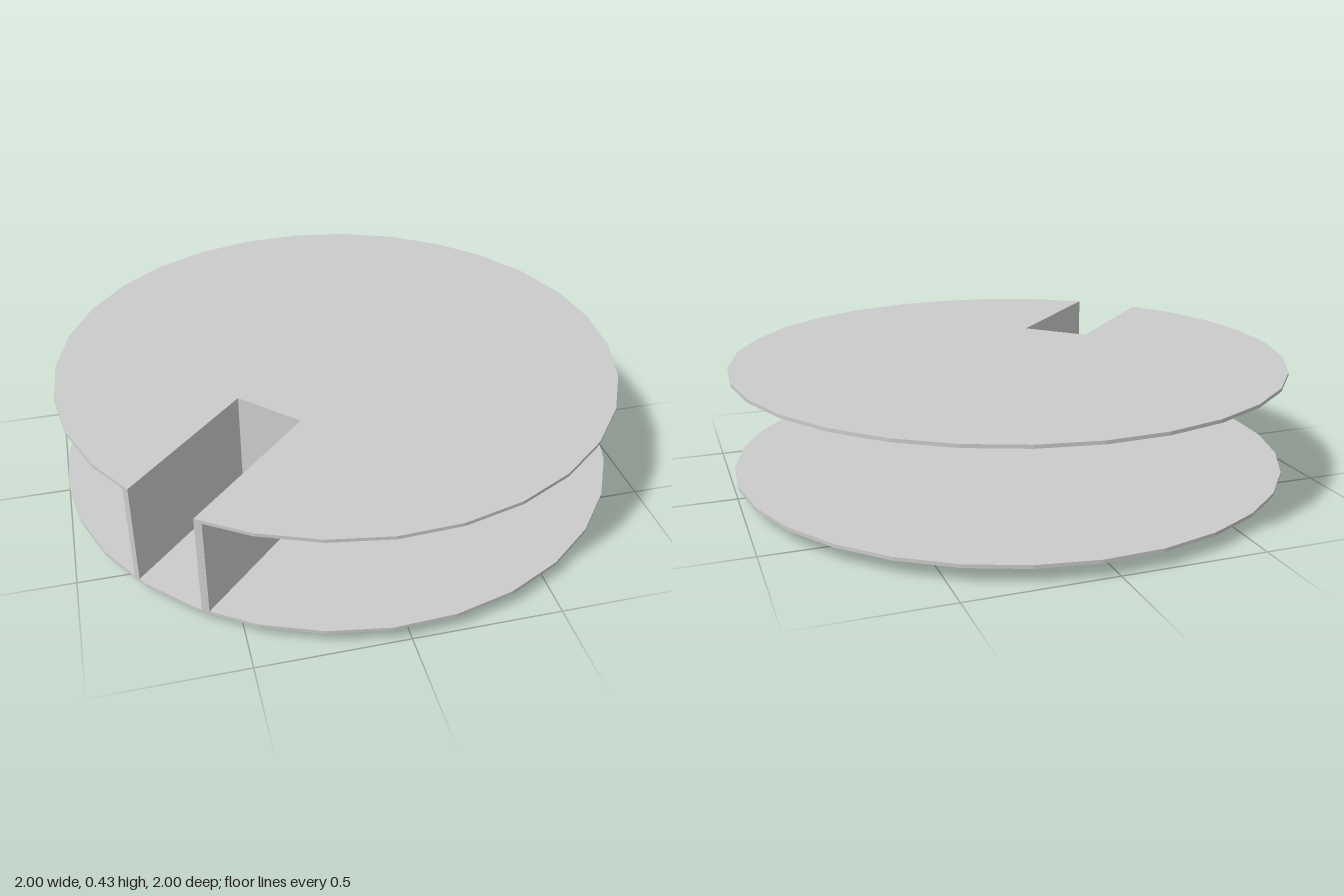
import * as THREE from 'three';

const material = new THREE.MeshStandardMaterial({ color: 0xcccccc, flatShading: true });

// Extrude an outline of [x, z] points upward from y = bottom
function slab(name, points, bottom, height) {
  const shape = new THREE.Shape(points.map(([x, z]) => new THREE.Vector2(x, -z)));
  const geometry = new THREE.ExtrudeGeometry(shape, { depth: height, bevelEnabled: false });
  geometry.rotateX(-Math.PI / 2);
  geometry.translate(0, bottom, 0);
  const mesh = new THREE.Mesh(geometry, material);
  mesh.name = name;
  return mesh;
}

export function createModel() {
  const group = new THREE.Group();
  group.name = 'slottedTurntable';

  // 30-sided rim
  const rim = [];
  for (let i = 0; i < 30; i++) {
    const a = THREE.MathUtils.degToRad(2.5 + 12 * i);
    rim.push([Math.cos(a), -Math.sin(a)]);
  }

  // Slot outline, from the rim inward and back out
  const slot = [[-0.798, 0.598], [-0.39, 0.19], [-0.21, 0.37], [-0.622, 0.782]];
  const outer = [[-0.6, 0.796], [-0.174, 0.37], [-0.39, 0.154], [-0.812, 0.576]];

  group.add(slab('lowerDisc', rim, 0.05, 0.012));

  // The slot replaces rim corners 18 and 19
  const slottedRim = [...rim.slice(0, 18), ...slot, ...rim.slice(20)];
  group.add(slab('upperDisc', slottedRim, 0.42, 0.012));

  // U-shaped wall around the slot, joining the discs
  group.add(slab('slotWall', [...slot, ...outer], 0.062, 0.358));

  // Five flattened feet with their axes nearly along x
  const footGeometry = new THREE.CylinderGeometry(1, 1, 0.07, 12);
  footGeometry.rotateZ(Math.PI / 2);
  footGeometry.scale(1, 0.027, 0.056);
  const feet = [[0.775, -0.115], [0.325, 0.685], [-0.54, 0.525], [-0.63, -0.39], [0.12, -0.765]];
  feet.forEach(([x, z], i) => {
    const foot = new THREE.Mesh(footGeometry, material);
    foot.name = `foot${i + 1}`;
    foot.position.set(x, 0.027, z);
    foot.rotation.y = 0.08;
    group.add(foot);
  });

  return group;
}
